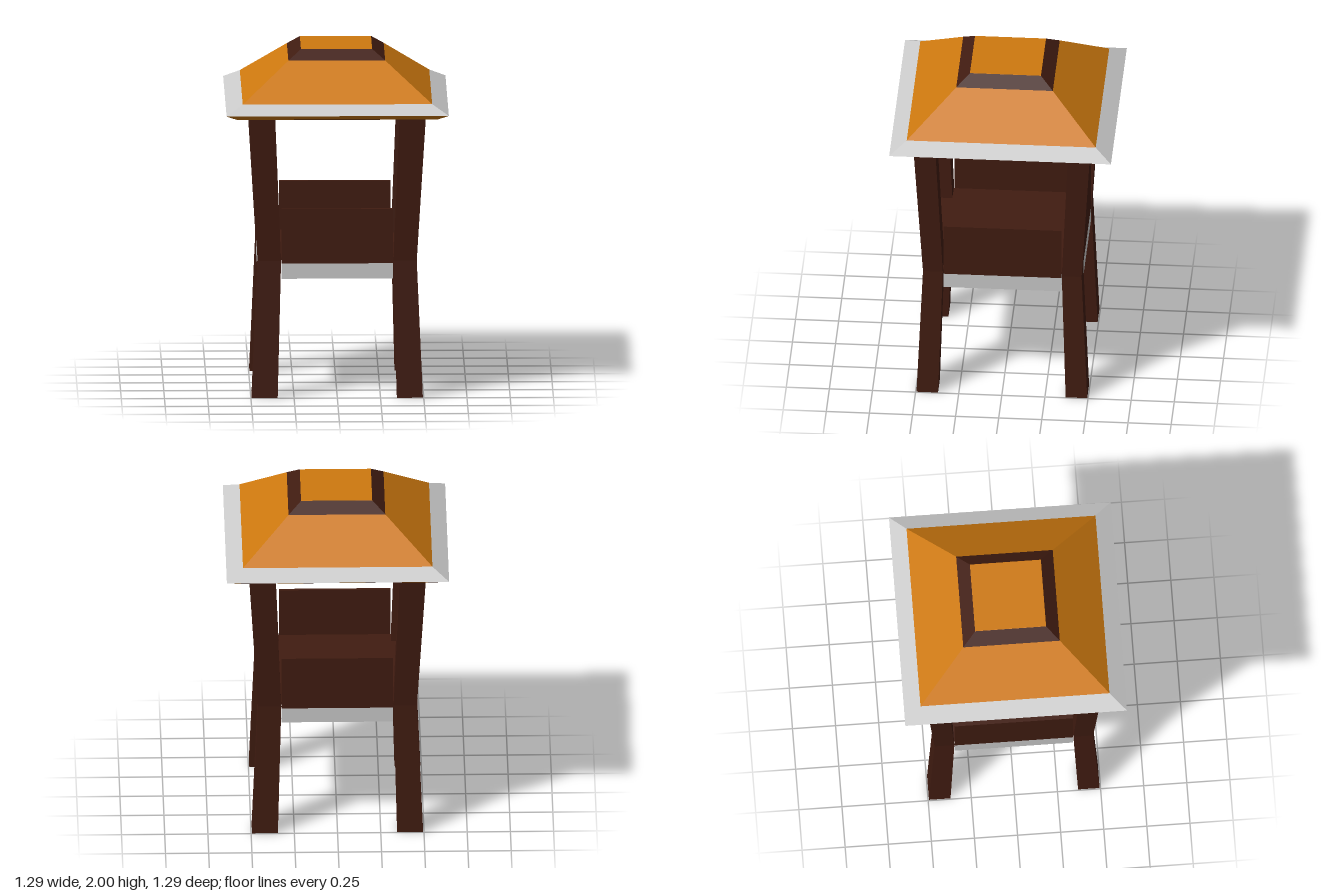
import * as THREE from 'three';

const wood = new THREE.MeshStandardMaterial({ color: 0x411c11, flatShading: true, side: THREE.DoubleSide });
const thatch = new THREE.MeshStandardMaterial({ color: 0xce790f, flatShading: true, side: THREE.DoubleSide });
const grey = new THREE.MeshStandardMaterial({ color: 0xcccccc, flatShading: true, side: THREE.DoubleSide });

// Joins rectangular sections [y, x0, x1, z0, z1], listed from bottom to top
function loft(name, sections, material, { bottom = false, top = false } = {}) {
  const rings = sections.map(([y, x0, x1, z0, z1]) => [[x0, y, z1], [x1, y, z1], [x1, y, z0], [x0, y, z0]]);
  const pos = [];
  const quad = (a, b, c, d) => pos.push(...a, ...b, ...c, ...a, ...c, ...d);
  for (let s = 0; s < rings.length - 1; s++) {
    for (let i = 0; i < 4; i++) {
      const j = (i + 1) % 4;
      quad(rings[s][i], rings[s][j], rings[s + 1][j], rings[s + 1][i]);
    }
  }
  if (bottom) quad(...[...rings[0]].reverse());
  if (top) quad(...rings[rings.length - 1]);
  const geometry = new THREE.BufferGeometry();
  geometry.setAttribute('position', new THREE.Float32BufferAttribute(pos, 3));
  geometry.computeVertexNormals();
  const mesh = new THREE.Mesh(geometry, material);
  mesh.name = name;
  return mesh;
}

const square = (y, h) => [y, -h, h, -h, h];

function box(name, w, h, d, x, y, z, material) {
  const mesh = new THREE.Mesh(new THREE.BoxGeometry(w, h, d), material);
  mesh.position.set(x, y, z);
  mesh.name = name;
  return mesh;
}

export function createModel() {
  const model = new THREE.Group();
  model.name = 'watchtower';

  // Four hollow legs, pinched at platform height: y, inner x, outer x, inner z, outer z
  const legProfile = [
    [0, 0.345, 0.495, 0.37, 0.495],
    [0.8, 0.325, 0.46, 0.345, 0.46],
    [1.655, 0.36, 0.512, 0.385, 0.512],
  ];
  for (const sx of [1, -1]) {
    for (const sz of [1, -1]) {
      const sections = legProfile.map(([y, xi, xo, zi, zo]) => [
        y, Math.min(sx * xi, sx * xo), Math.max(sx * xi, sx * xo),
        Math.min(sz * zi, sz * zo), Math.max(sz * zi, sz * zo),
      ]);
      model.add(loft(`${sz > 0 ? 'front' : 'back'}${sx > 0 ? 'Left' : 'Right'}Leg`, sections, wood));
    }
  }

  // Platform: parapet boards with a grey beam below each, and a floor between them
  const t = 0.02, face = 0.457;
  const rows = [['Parapet', 0.785, 1.105, wood], ['Beam', 0.695, 0.785, grey]];
  for (const [part, y0, y1, material] of rows) {
    const h = y1 - y0, y = (y0 + y1) / 2, c = face - t / 2;
    for (const s of [1, -1]) {
      model.add(box((s > 0 ? 'front' : 'back') + part, 0.645, h, t, 0, y, s * c, material));
      model.add(box((s > 0 ? 'left' : 'right') + part, t, h, 0.685, s * c, y, 0, material));
    }
  }
  model.add(box('floor', 0.88, 0.015, 0.88, 0, 0.81, 0, wood));

  // Hipped roof in stacked bands
  const roof = new THREE.Group();
  roof.name = 'roof';
  roof.add(
    loft('ceiling', [square(1.652, 0.58), square(1.654, 0.583)], wood, { bottom: true }),
    loft('eaveUnderside', [square(1.654, 0.583), square(1.685, 0.643)], thatch),
    loft('eaveEdge', [square(1.685, 0.643), square(1.737, 0.548)], grey),
    loft('roofSlope', [square(1.737, 0.548), square(1.945, 0.28)], thatch),
    loft('roofTrim', [square(1.945, 0.28), square(1.9995, 0.206)], wood),
    loft('roofTop', [square(1.9995, 0.206), square(2, 0.205)], thatch, { top: true }),
  );
  model.add(roof);
  return model;
}
